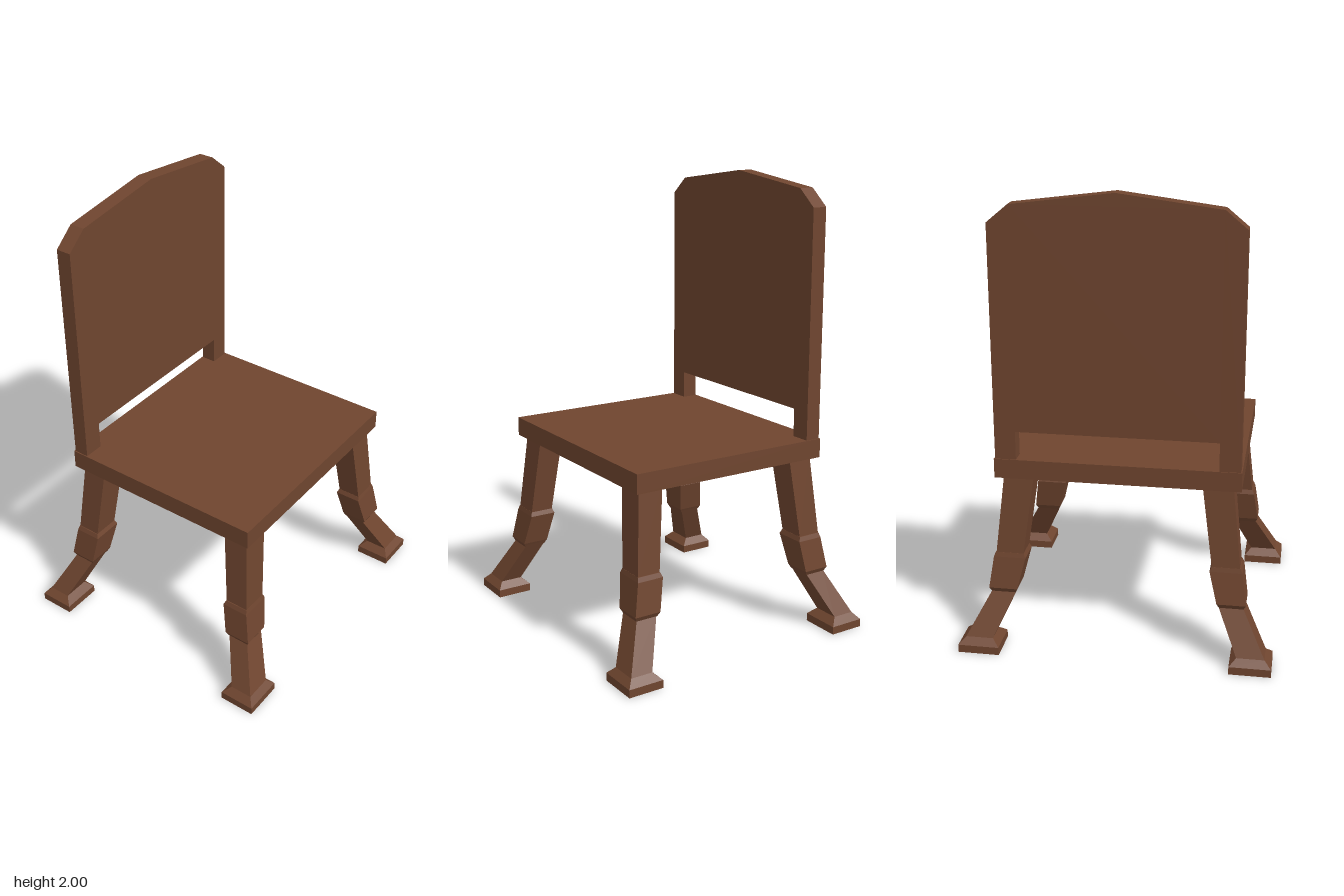
import * as THREE from 'three';

const wood = new THREE.MeshStandardMaterial({ color: 0x6f452f, flatShading: true });
wood.name = 'brown wood';

// Solid through rectangular sections [y, xInner, xOuter, zInner, zOuter], bottom to top, mirrored by sx and sz
function loft(name, sections, sx, sz) {
  const rings = sections.map(([y, xi, xo, zi, zo]) => {
    const [x0, x1] = [xi * sx, xo * sx].sort((a, b) => a - b);
    const [z0, z1] = [zi * sz, zo * sz].sort((a, b) => a - b);
    return [[x0, y, z1], [x1, y, z1], [x1, y, z0], [x0, y, z0]];
  });
  const pos = [];
  const quad = (a, b, c, d) => pos.push(...a, ...b, ...c, ...a, ...c, ...d);
  for (let r = 0; r < rings.length - 1; r++) {
    for (let i = 0; i < 4; i++) {
      const j = (i + 1) % 4;
      quad(rings[r][i], rings[r][j], rings[r + 1][j], rings[r + 1][i]);
    }
  }
  const top = rings[rings.length - 1], bottom = rings[0];
  quad(...top);
  quad(bottom[3], bottom[2], bottom[1], bottom[0]);
  const geo = new THREE.BufferGeometry();
  geo.setAttribute('position', new THREE.Float32BufferAttribute(pos, 3));
  geo.computeVertexNormals();
  const mesh = new THREE.Mesh(geo, wood);
  mesh.name = name;
  return mesh;
}

const upperLeg = [
  [0.42, 0.41, 0.53, 0.37, 0.475],
  [0.79, 0.36, 0.49, 0.33, 0.443],
];
const knee = [
  [0.25, 0.445, 0.55, 0.395, 0.495],
  [0.27, 0.435, 0.56, 0.385, 0.505],
  [0.41, 0.4, 0.54, 0.36, 0.48],
  [0.43, 0.408, 0.532, 0.368, 0.475],
];
const lowerLeg = [
  [0, 0.5, 0.68, 0.45, 0.61],
  [0.035, 0.5, 0.68, 0.45, 0.61],
  [0.065, 0.53, 0.65, 0.483, 0.583],
  [0.26, 0.44, 0.545, 0.395, 0.49],
];

function makeLeg(name, sx, sz) {
  const leg = new THREE.Group();
  leg.name = name;
  leg.add(
    loft('upperLeg', upperLeg, sx, sz),
    loft('knee', knee, sx, sz),
    loft('lowerLegAndFoot', lowerLeg, sx, sz),
  );
  return leg;
}

export function createModel() {
  const chair = new THREE.Group();
  chair.name = 'chair';

  // Seat slab
  const seat = new THREE.Mesh(new THREE.BoxGeometry(1.05, 0.085, 0.945), wood);
  seat.name = 'seat';
  seat.position.y = 0.8225;
  chair.add(seat);

  // Backrest with peaked top, standing on two short posts
  const outline = [
    [-0.52, 0.865], [-0.43, 0.865], [-0.43, 0.99], [0.43, 0.99], [0.43, 0.865], [0.52, 0.865],
    [0.52, 1.87], [0.43, 1.945], [0, 2], [-0.43, 1.945], [-0.52, 1.87],
  ];
  const shape = new THREE.Shape(outline.map(([x, y]) => new THREE.Vector2(x, y)));
  const back = new THREE.Mesh(
    new THREE.ExtrudeGeometry(shape, { depth: 0.068, bevelEnabled: false }), wood);
  back.name = 'backrest';
  back.position.z = -0.468;
  chair.add(back);

  // Four splayed legs
  for (const [sx, side] of [[1, 'Left'], [-1, 'Right']]) {
    chair.add(makeLeg('front' + side + 'Leg', sx, 1), makeLeg('back' + side + 'Leg', sx, -1));
  }
  return chair;
}
